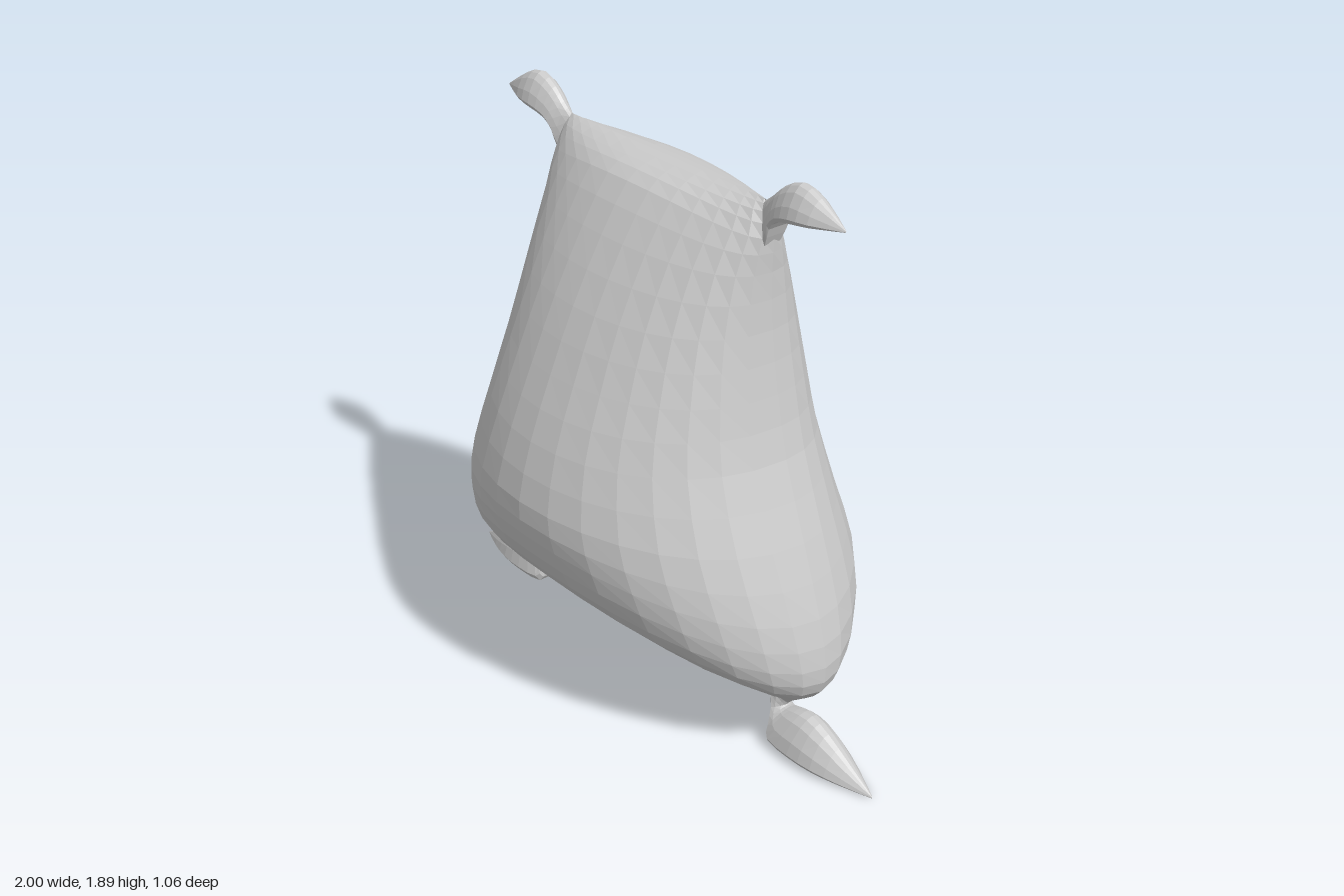
import * as THREE from 'three';

const MID_Z = -0.04; // plane of the seam running around the sack
const material = new THREE.MeshStandardMaterial({ color: 0xcccccc, flatShading: true });

// Skin a list of closed rings, each an array of Vector3
function loft(rings, name) {
  const n = rings[0].length;
  const positions = rings.flat().flatMap((p) => [p.x, p.y, p.z]);
  const index = [];
  for (let i = 0; i < rings.length - 1; i++) {
    for (let j = 0; j < n; j++) {
      const k = (j + 1) % n;
      const a = i * n + j, c = i * n + k, b = a + n, d = c + n;
      index.push(a, c, b, c, d, b);
    }
  }
  const geometry = new THREE.BufferGeometry();
  geometry.setAttribute('position', new THREE.Float32BufferAttribute(positions, 3));
  geometry.setIndex(index);
  geometry.computeVertexNormals();
  const mesh = new THREE.Mesh(geometry, material);
  mesh.name = name;
  return mesh;
}

// Smoothly resample a table of rows, column by column
function resample(rows, steps) {
  const last = rows.length - 1;
  const out = [];
  for (let i = 0; i <= last * steps; i++) {
    const s = Math.min(Math.floor(i / steps), last - 1);
    const t = i / steps - s;
    const at = (k) => rows[THREE.MathUtils.clamp(k, 0, last)];
    out.push(rows[0].map((_, c) => {
      const p0 = at(s - 1)[c], p1 = at(s)[c], p2 = at(s + 1)[c], p3 = at(s + 2)[c];
      return p1 + 0.5 * t * (p2 - p0 + t * (2 * p0 - 5 * p1 + 4 * p2 - p3 + t * (3 * (p1 - p2) + p3 - p0)));
    }));
  }
  return out;
}

// Sack body, top to bottom: half width, side y, front z, front y, back z, back y,
// sharpness of the bend towards the sides, section shape (below 1 boxy, above 1 lens)
const BODY = [
  [0.45, 1.795, -0.04, 1.797, -0.04, 1.797, 2, 0.8],
  [0.468, 1.765, 0.03, 1.783, -0.11, 1.783, 2, 0.8],
  [0.488, 1.69, 0.10, 1.745, -0.17, 1.745, 2, 0.82],
  [0.485, 1.58, 0.20, 1.60, -0.25, 1.60, 2, 0.84],
  [0.495, 1.40, 0.31, 1.40, -0.32, 1.40, 2, 0.86],
  [0.525, 1.20, 0.40, 1.20, -0.37, 1.20, 2, 0.88],
  [0.57, 1.00, 0.48, 1.00, -0.415, 1.00, 2, 0.92],
  [0.66, 0.75, 0.53, 0.81, -0.47, 0.81, 2, 0.98],
  [0.74, 0.52, 0.52, 0.69, -0.53, 0.65, 1.9, 1.05],
  [0.775, 0.36, 0.47, 0.555, -0.51, 0.53, 1.9, 1.1],
  [0.76, 0.265, 0.37, 0.45, -0.42, 0.45, 1.8, 1.1],
  [0.69, 0.20, 0.20, 0.39, -0.25, 0.39, 1.8, 1],
  [0.635, 0.16, 0.07, 0.375, -0.14, 0.375, 2, 0.9],
  [0.595, 0.12, -0.04, 0.37, -0.04, 0.37, 2.3, 0.9],
];

function createBody() {
  const sides = 32;
  const rings = resample(BODY, 2).map(([w, ys, zf, yf, zb, yb, sharpness, shape]) => {
    const ring = [];
    for (let j = 0; j < sides; j++) {
      const a = (j / sides) * Math.PI * 2;
      const c = Math.cos(a), s = Math.sin(a);
      // the middle of each row rides higher than its sides, arching the underside
      const bend = Math.abs(c) ** sharpness;
      const y = THREE.MathUtils.lerp(s >= 0 ? yf : yb, ys, bend);
      const depth = s >= 0 ? zf - MID_Z : zb - MID_Z;
      ring.push(new THREE.Vector3(w * c, y, MID_Z + depth * Math.abs(s) ** shape));
    }
    return ring;
  });
  return loft(rings, 'body');
}

// Domed cross-section of the limbs: height fraction, width fraction
const DOME = [[0, 0], [0, 0.85], [0.14, 1], [0.45, 0.85], [0.8, 0.52], [0.95, 0.25], [1, 0]];

// Limb rows: underside x, y, upper x, y, half thickness in z
const FOOT = [
  [0.545, 0.215, 0.66, 0.20, 0.025],
  [0.562, 0.17, 0.63, 0.165, 0.035],
  [0.575, 0.12, 0.612, 0.135, 0.04],
  [0.586, 0.06, 0.625, 0.132, 0.062],
  [0.60, 0.018, 0.665, 0.145, 0.08],
  [0.70, 0.01, 0.725, 0.152, 0.086],
  [0.80, 0.008, 0.80, 0.125, 0.077],
  [0.90, 0.005, 0.90, 0.066, 0.046],
  [1.00, 0.0, 1.00, 0.004, 0.002],
];
const HAND = [
  [0.43, 1.63, 0.40, 1.76, 0.012],
  [0.482, 1.67, 0.448, 1.79, 0.035],
  [0.506, 1.73, 0.488, 1.822, 0.045],
  [0.54, 1.765, 0.53, 1.86, 0.052],
  [0.60, 1.782, 0.60, 1.892, 0.06],
  [0.67, 1.79, 0.675, 1.868, 0.05],
  [0.775, 1.80, 0.775, 1.804, 0.002],
];

function createLimb(rows, side, name) {
  const section = [...DOME, ...DOME.slice(1, -1).reverse().map(([t, z]) => [t, -z])];
  const rings = resample(rows, 2).map(([x0, y0, x1, y1, hz]) =>
    section.map(([t, z]) => new THREE.Vector3(
      side * THREE.MathUtils.lerp(x0, x1, t),
      THREE.MathUtils.lerp(y0, y1, t),
      MID_Z - side * z * hz,
    )));
  return loft(rings, name);
}

export function createModel() {
  const model = new THREE.Group();
  model.name = 'sackFigure';
  model.add(createBody());
  for (const [side, label] of [[1, 'left'], [-1, 'right']]) {
    model.add(createLimb(FOOT, side, `${label}Foot`));
    model.add(createLimb(HAND, side, `${label}Hand`));
  }
  return model;
}
